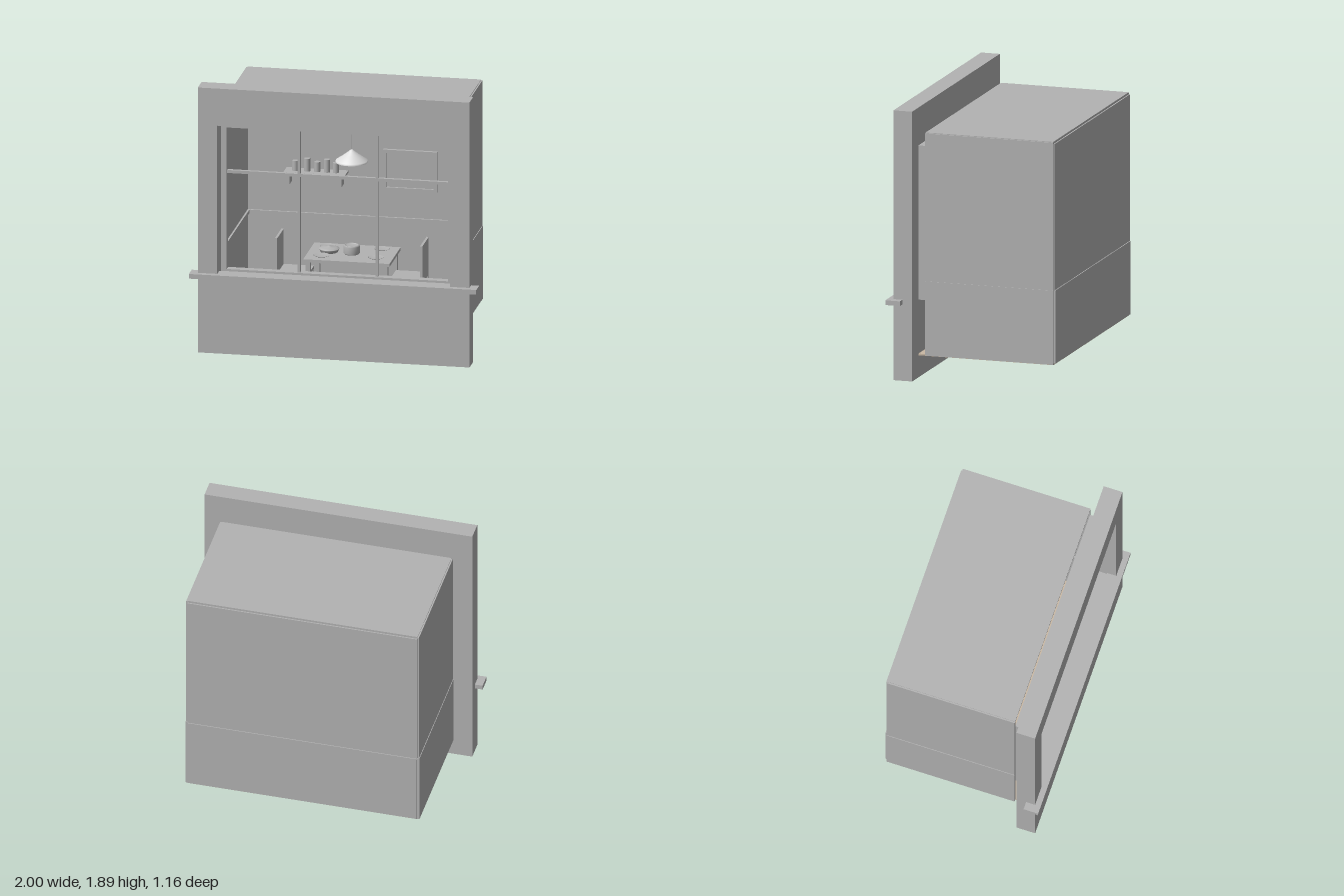
import * as THREE from 'three';

const mat = (name, color, side = THREE.FrontSide) => {
  const m = new THREE.MeshStandardMaterial({ color, side });
  m.name = name;
  return m;
};

export function createModel() {
  const plaster = mat('plaster grey', 0xb2b2b2);
  const wood = mat('floor beige', 0xc9b8a3);
  const enamel = mat('lamp white', 0xdcdcdc, THREE.DoubleSide);
  const root = new THREE.Group();
  root.name = 'windowRoom';

  const group = (name, parent = root) => {
    const g = new THREE.Group();
    g.name = name;
    parent.add(g);
    return g;
  };
  const add = (name, geo, parent = root, m = plaster) => {
    const mesh = new THREE.Mesh(geo, m);
    mesh.name = name;
    parent.add(mesh);
    return mesh;
  };
  // Box given by its minimum and maximum on each axis
  const box = (name, x0, x1, y0, y1, z0, z1, parent = root, m = plaster) => {
    const b = add(name, new THREE.BoxGeometry(x1 - x0, y1 - y0, z1 - z0), parent, m);
    b.position.set((x0 + x1) / 2, (y0 + y1) / 2, (z0 + z1) / 2);
    return b;
  };
  const lathe = (name, pts, x, y, z, parent = root, m = plaster) => {
    const l = add(name, new THREE.LatheGeometry(pts.map(p => new THREE.Vector2(...p)), 32), parent, m);
    l.position.set(x, y, z);
    return l;
  };
  // Rectangular ring extruded along z
  const ring = (name, o, i, z0, z1, parent = root) => {
    const trace = (p, [x0, x1, y0, y1]) =>
      p.moveTo(x0, y0).lineTo(x1, y0).lineTo(x1, y1).lineTo(x0, y1).closePath();
    const shape = trace(new THREE.Shape(), o);
    shape.holes.push(trace(new THREE.Path(), i));
    const r = add(name, new THREE.ExtrudeGeometry(shape, { depth: z1 - z0, bevelEnabled: false }), parent);
    r.position.z = z0;
    return r;
  };

  // Front wall, sill and window
  ring('frontWall', [-0.945, 0.945, 0, 1.89], [-0.81, 0.81, 0.55, 1.625], 0.405, 0.54);
  box('windowSill', -1, 1, 0.535, 0.568, 0.475, 0.58);
  const win = group('window');
  ring('windowFrame', [-0.81, 0.81, 0.545, 1.625], [-0.77, 0.77, 0.565, 1.575], 0.352, 0.405, win);
  for (const s of [-1, 1]) box('mullion', s * 0.272 - 0.01, s * 0.272 + 0.01, 0.565, 1.575, 0.365, 0.39, win);
  box('transom', -0.77, 0.77, 1.246, 1.267, 0.365, 0.39, win);

  // Room shell with slightly thicker lower walls and a dado rail
  const room = group('room');
  box('floor', -0.81, 0.81, 0.155, 0.167, -0.568, 0.405, room, wood);
  box('ceiling', -0.812, 0.812, 1.705, 1.72, -0.568, 0.352, room);
  box('backWall', -0.81, 0.81, 0.68, 1.705, -0.577, -0.563, room);
  box('lowerBackWall', -0.81, 0.81, 0.167, 0.68, -0.583, -0.56, room);
  box('backRail', -0.81, 0.81, 0.68, 0.705, -0.563, -0.548, room);
  for (const s of [-1, 1]) {
    const side = (name, a, b, y0, y1, z0) =>
      box(name, Math.min(s * a, s * b), Math.max(s * a, s * b), y0, y1, z0, 0.352, room);
    side('sideWall', 0.81, 0.822, 0.68, 1.715, -0.568);
    side('lowerSideWall', 0.807, 0.826, 0.16, 0.68, -0.57);
    side('sideRail', 0.797, 0.81, 0.68, 0.705, -0.56);
  }

  // Wall picture
  const picture = group('wallPicture');
  ring('pictureFrame', [0.135, 0.51, 0.9, 1.19], [0.16, 0.485, 0.922, 1.167], -0.563, -0.54, picture);
  box('picturePanel', 0.16, 0.485, 0.922, 1.167, -0.563, -0.555, picture);

  // Shelf with brackets and jars
  const shelf = group('shelf');
  box('shelfBoard', -0.54, -0.11, 1.005, 1.02, -0.563, -0.44, shelf);
  for (const x of [-0.51, -0.148]) box('shelfBracket', x - 0.008, x + 0.008, 0.925, 1.005, -0.563, -0.46, shelf);
  const jars = [[-0.468, 0.07], [-0.385, 0.09], [-0.315, 0.07], [-0.247, 0.09], [-0.185, 0.07]];
  for (const [x, h] of jars) {
    const jar = add('jar', new THREE.CylinderGeometry(0.021, 0.021, h, 20), shelf);
    jar.position.set(x, 1.02 + h / 2, -0.5);
  }

  // Pendant lamp
  const lamp = group('pendantLamp');
  const cord = add('lampCord', new THREE.CylinderGeometry(0.003, 0.003, 0.4, 8), lamp);
  cord.position.set(0, 1.505, -0.11);
  lathe('lampShade', [[0.11, 0], [0.109, 0.012], [0.06, 0.045], [0.015, 0.08], [0.006, 0.088], [0, 0.088]],
    0, 1.222, -0.11, lamp, enamel);

  // Table
  const table = group('table');
  box('tableTop', -0.3, 0.3, 0.545, 0.567, -0.32, 0.085, table);
  for (const x of [-0.27, 0.27]) for (const z of [-0.29, 0.055])
    box('tableLeg', x - 0.015, x + 0.015, 0.167, 0.545, z - 0.015, z + 0.015, table);

  // Chairs at both ends, facing inward
  for (const s of [-1, 1]) {
    const chair = group('chair');
    chair.position.z = -0.115;
    if (s < 0) chair.rotation.y = Math.PI;
    box('chairSeat', 0.285, 0.513, 0.41, 0.43, -0.115, 0.115, chair);
    box('chairBack', 0.497, 0.513, 0.43, 0.68, -0.115, 0.115, chair);
    for (const x of [0.3, 0.5]) for (const z of [-0.1, 0.1])
      box('chairLeg', x - 0.012, x + 0.012, 0.167, 0.41, z - 0.012, z + 0.012, chair);
  }

  // Tableware
  const ware = group('tableware');
  const plate = [[0, 0], [0.035, 0], [0.055, 0.008], [0.053, 0.01], [0.034, 0.004], [0, 0.004]];
  for (const [x, z] of [[-0.19, -0.01], [0.185, -0.03], [-0.19, -0.24], [0.185, -0.24]])
    lathe('plate', plate, x, 0.567, z, ware);
  lathe('pot', [[0, 0], [0.05, 0], [0.056, 0.008], [0.056, 0.055], [0.05, 0.063], [0.044, 0.063], [0.042, 0.056], [0, 0.056]],
    0, 0.567, -0.11, ware);
  lathe('lowPan', [[0, 0], [0.06, 0], [0.068, 0.02], [0.07, 0.024], [0.05, 0.032], [0.012, 0.036], [0.012, 0.042], [0, 0.042]],
    -0.16, 0.567, -0.13, ware);
  return root;
}
